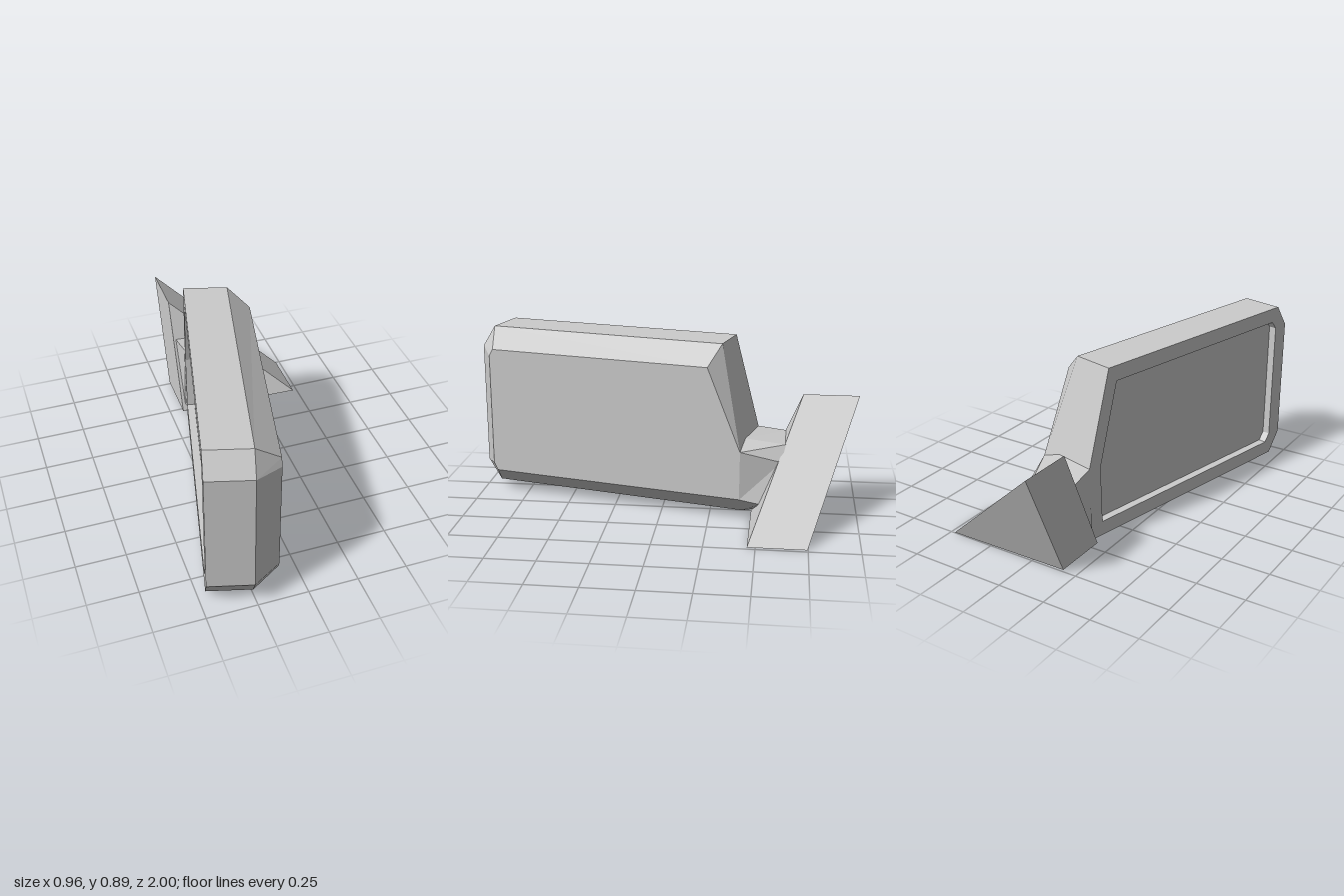
import * as THREE from 'three';

const material = new THREE.MeshStandardMaterial({ color: 0xcccccc, flatShading: true });

// Skin consecutive rings; points run clockwise as seen from the first ring's side.
function loft(name, rings, capStart = true, capEnd = true) {
  const pos = [];
  const tri = (a, b, c) => pos.push(...a, ...b, ...c);
  for (let r = 0; r + 1 < rings.length; r++) {
    const p = rings[r], q = rings[r + 1], n = p.length;
    for (let i = 0; i < n; i++) {
      const j = (i + 1) % n;
      tri(q[i], p[i], p[j]);
      tri(q[i], p[j], q[j]);
    }
  }
  const first = rings[0], last = rings[rings.length - 1];
  for (let i = 1; i + 1 < first.length; i++) {
    if (capStart) tri(first[0], first[i + 1], first[i]);
    if (capEnd) tri(last[0], last[i], last[i + 1]);
  }
  const geometry = new THREE.BufferGeometry();
  geometry.setAttribute('position', new THREE.Float32BufferAttribute(pos, 3));
  geometry.computeVertexNormals();
  const mesh = new THREE.Mesh(geometry, material);
  mesh.name = name;
  return mesh;
}

// Outline of (z, y) pairs placed on an upright plane that is swung about y.
const onPlane = (x0, z0, slope, outline) =>
  outline.map(([z, y]) => [x0 + slope * (z0 - z), y, z]);
const shift = (ring, dx, dy, dz) => ring.map(([x, y, z]) => [x + dx, y + dy, z + dz]);

export function createModel() {
  const group = new THREE.Group();
  group.name = 'sideMirror';

  // Housing outlines: open rim, straight shell, chamfered front panel
  const rim = onPlane(-0.48, 0.94, 0.228, [
    [0.94, 0.78], [0.87, 0.892], [-0.36, 0.889], [-0.485, 0.413],
    [-0.475, 0.025], [0.87, 0.031], [0.94, 0.141]]);
  const shell = shift(rim, 0.215, -0.003, 0.058);
  const panel = onPlane(-0.122, 0.92, 0.219, [
    [0.93, 0.755], [0.91, 0.79], [-0.235, 0.787], [-0.405, 0.37],
    [-0.405, 0.12], [0.91, 0.125], [0.93, 0.163]]);

  // Opening inset from the rim, sunk a little to the glass
  const opening = onPlane(-0.48, 0.94, 0.228, [
    [0.86, 0.775], [0.83, 0.815], [-0.31, 0.812], [-0.415, 0.40],
    [-0.405, 0.1], [0.83, 0.105], [0.86, 0.148]]);
  const recess = shift(opening, 0.04, 0, 0.009);
  group.add(loft('housing', [panel, shell, rim, opening, recess], true, false));
  group.add(loft('mirrorGlass', [recess], false, true));

  // Short arm from the inner end of the housing into the base
  const armRoot = [rim[3], shell[3], panel[3], panel[4], shell[4], rim[4]];
  const armTip = [
    [-0.165, 0.39, -0.64], [0.06, 0.385, -0.63], [0.12, 0.31, -0.61],
    [0.17, 0.1, -0.51], [0.05, 0.03, -0.48], [-0.165, 0.02, -0.48]];
  group.add(loft('arm', [armRoot, armTip]));

  // Leaning triangular mounting base
  const baseFront = [[-0.175, 0.585, -0.712], [0.48, 0, -0.46], [-0.182, 0.011, -0.463]];
  group.add(loft('mountingBase', [baseFront, shift(baseFront, 0, 0, -0.287)]));

  return group;
}
